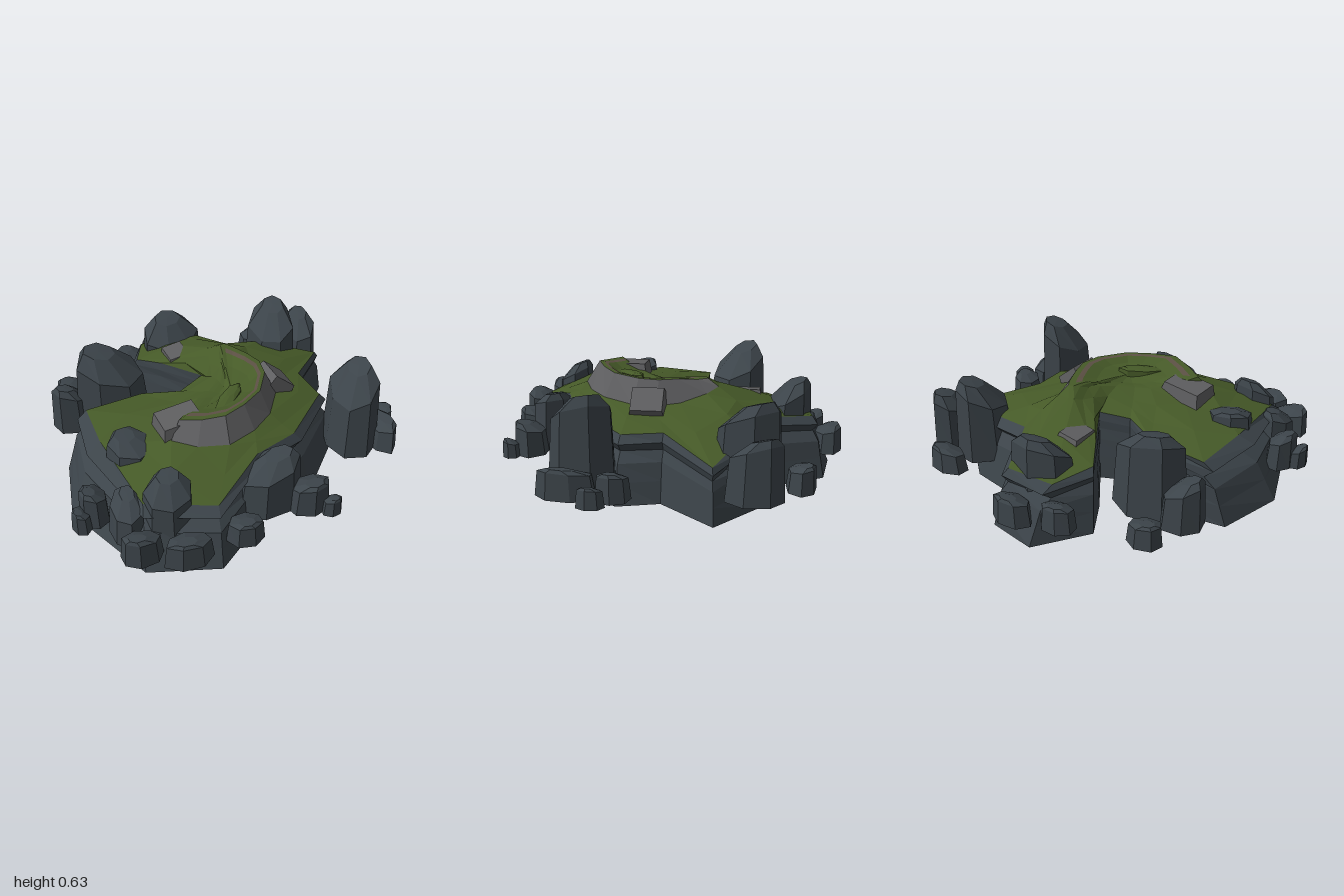
import * as THREE from 'three';

const material = (color) => new THREE.MeshStandardMaterial({ color, flatShading: true });

// Joins two closed rings of equal length; rings run clockwise seen from above.
function loft(a, b, keep = () => true) {
  const pos = [];
  const n = a.length;
  for (let i = 0; i < n; i++) {
    if (!keep(i)) continue;
    const j = (i + 1) % n;
    pos.push(...a[i], ...b[i], ...b[j], ...a[i], ...b[j], ...a[j]);
  }
  return pos;
}

function meshOf(name, positions, mat) {
  const g = new THREE.BufferGeometry();
  g.setAttribute('position', new THREE.Float32BufferAttribute(positions, 3));
  g.computeVertexNormals();
  const m = new THREE.Mesh(g, mat);
  m.name = name;
  return m;
}

const mix = (a, b, t) => a + (b - a) * t;

// Blocky boulder: steep sides and a long slanted cut rising to a peak on the side of angle "peak".
function boulder(name, [x, z, rx, rz, top, peak = Math.atan2(z, x), y0 = 0.12], mat, seed, cut) {
  let s = seed * 7919 + 13;
  const rnd = () => (s = (s * 16807) % 2147483647) / 2147483647;
  for (let i = 0; i < 4; i++) rnd();
  const h = top - y0;
  const jitter = Array.from({ length: 7 }, () => 0.97 + rnd() * 0.12);
  const turn = rnd();
  const ring = (f, t, tilt, lean) => jitter.map((k, i) => {
    const a = ((i + turn) / jitter.length) * Math.PI * 2;
    return [
      rx * (Math.cos(a) * f * k + Math.cos(peak) * lean),
      y0 + h * (t - tilt * (1 - Math.cos(a - peak))),
      rz * (Math.sin(a) * f * k + Math.sin(peak) * lean),
    ];
  });
  const flat = (y) => jitter.map(() => [0, y, 0]);
  const base = ring(1, 0, 0, 0), shoulder = ring(0.88, 0.9, cut, 0.04);
  const crown = ring(0.42, 1, cut * 0.35, 0.36), tip = ring(0, 1 - cut * 0.3, 0, 0.36);
  const m = meshOf(name, [
    ...loft(flat(y0), base), ...loft(base, shoulder),
    ...loft(shoulder, crown), ...loft(crown, tip),
  ], mat);
  m.position.set(x, 0, z);
  return m;
}

// Squared stone slab with sloping sides, tipped about z
function slab(x, y, z, w, h, d, tip) {
  const g = new THREE.BoxGeometry(w, h, d);
  const p = g.attributes.position;
  for (let i = 0; i < p.count; i++) {
    if (p.getY(i) > 0) p.setXYZ(i, p.getX(i) * 0.78, p.getY(i), p.getZ(i) * 0.78);
  }
  g.computeVertexNormals();
  return g.rotateZ(tip).translate(x, y, z);
}

// Foot of the cliff: x, z
const FOOT = [
  [0.14, -0.87], [0.29, -0.60], [0.55, -0.56], [0.86, -0.30], [0.60, -0.01], [0.66, 0.22],
  [0.34, 0.55], [0, 0.66], [-0.35, 0.91], [-0.72, 0.78], [-0.94, 0.22], [-0.85, -0.16],
  [-0.42, -0.24], [-0.18, -0.10], [-0.03, -0.17], [-0.20, -0.40], [-0.33, -0.62], [-0.14, -0.91],
];
// Edge of the grass: x, y, z
const EDGE = [
  [0.08, 0.34, -0.80], [0.25, 0.38, -0.48], [0.48, 0.36, -0.45], [0.80, 0.29, -0.29],
  [0.54, 0.37, -0.02], [0.56, 0.36, 0.20], [0.24, 0.39, 0.50], [-0.02, 0.40, 0.59],
  [-0.32, 0.31, 0.78], [-0.67, 0.33, 0.64], [-0.73, 0.38, 0.14], [-0.71, 0.36, -0.18],
  [-0.38, 0.38, -0.18], [-0.18, 0.40, -0.09], [-0.02, 0.42, -0.16], [-0.18, 0.40, -0.40],
  [-0.28, 0.36, -0.55], [-0.18, 0.32, -0.76],
];
// Foot of the mound
const MOUND = [
  [0.10, 0.52, -0.28], [0.17, 0.52, -0.28], [0.21, 0.49, -0.22], [0.27, 0.45, -0.08],
  [0.30, 0.44, 0.04], [0.29, 0.44, 0.18], [0.17, 0.44, 0.35], [0.03, 0.44, 0.45],
  [-0.14, 0.44, 0.51], [-0.30, 0.44, 0.46], [-0.41, 0.45, 0.37], [-0.36, 0.44, 0.18],
  [-0.25, 0.44, 0.06], [-0.12, 0.45, 0.02], [0, 0.47, -0.06], [0.03, 0.49, -0.15],
  [0.05, 0.50, -0.22], [0.07, 0.52, -0.27],
];
// Crest of the mound
const CREST = [
  [0.12, 0.56, -0.21], [0.15, 0.56, -0.22], [0.18, 0.56, -0.17], [0.22, 0.57, -0.06],
  [0.25, 0.57, 0.04], [0.23, 0.57, 0.15], [0.13, 0.57, 0.30], [0, 0.57, 0.38],
  [-0.13, 0.57, 0.43], [-0.25, 0.55, 0.39], [-0.35, 0.54, 0.33], [-0.25, 0.50, 0.22],
  [-0.16, 0.49, 0.13], [-0.08, 0.49, 0.09], [0, 0.50, 0.02], [0.05, 0.52, -0.06],
  [0.08, 0.53, -0.13], [0.10, 0.55, -0.18],
];

// Boulders on the ledge: x, z, radius x, radius z, top, angle of the peak, optional base
const TALL = [
  [0.665, 0.38, 0.14, 0.18, 0.63, -0.5], [0.57, -0.46, 0.14, 0.19, 0.585, -0.8],
  [-0.02, -0.65, 0.19, 0.14, 0.53, -1.6], [-0.50, -0.36, 0.21, 0.16, 0.60, -2.3],
  [-0.60, 0.27, 0.13, 0.13, 0.46, -2, 0.3], [-0.54, 0.66, 0.14, 0.11, 0.47, -1.3],
  [0.01, 0.67, 0.18, 0.12, 0.44, -0.4], [0.78, -0.50, 0.11, 0.15, 0.46, -0.8],
  [-0.73, -0.41, 0.12, 0.11, 0.40, 2.8], [-0.74, 0.59, 0.09, 0.12, 0.36, -1],
];
const SMALL = [
  [0.83, 0.43, 0.08, 0.15, 0.28], [0.84, 0.20, 0.08, 0.09, 0.27], [0.945, 0.29, 0.052, 0.07, 0.23],
  [-0.02, -0.89, 0.12, 0.08, 0.27], [-0.25, -0.81, 0.10, 0.08, 0.27], [0.60, -0.73, 0.12, 0.08, 0.26],
  [-0.67, -0.645, 0.10, 0.08, 0.25], [-0.945, 0.46, 0.052, 0.07, 0.24], [-0.86, 0.41, 0.08, 0.10, 0.32],
  [-0.73, 0.78, 0.11, 0.08, 0.28], [-0.52, 0.88, 0.13, 0.09, 0.27], [-0.20, 0.85, 0.10, 0.09, 0.25],
  [0.20, 0.77, 0.12, 0.10, 0.30], [0.29, 0.86, 0.058, 0.05, 0.22],
];

export function createModel() {
  const group = new THREE.Group();
  const rock = material(0x3c444a), stone = material(0x5e5e60);
  const grass = material(0x465a28), earth = material(0x5c5044);

  // Cliff: tiers from the foot up to an overhanging lip below the grass
  const tiers = [[0, 0], [0.33, 0.28], [0.6, 0.5], [0.76, 0.95], [0.88, 0.6], [1, 1]].map(([h, t]) =>
    EDGE.map(([x, y, z], i) => [mix(FOOT[i][0], x, t), y * h, mix(FOOT[i][1], z, t)]));
  const cliff = [];
  for (let k = 0; k + 1 < tiers.length; k++) cliff.push(...loft(tiers[k], tiers[k + 1]));
  group.add(meshOf('cliff', cliff, rock));

  // Underside
  const outline = new THREE.Shape(FOOT.map(([x, z]) => new THREE.Vector2(x, z)));
  const underside = new THREE.Mesh(new THREE.ShapeGeometry(outline).rotateX(Math.PI / 2), rock);
  underside.name = 'underside';
  group.add(underside);

  // Grass field, rising in two steps to the mound
  const slope = EDGE.map(([x, y, z], i) => {
    const [mx, my, mz] = MOUND[i];
    return [mix(x, mx, 0.5), mix(y, my, 0.5) + (i % 2 ? 0.006 : -0.006), mix(z, mz, 0.5)];
  });
  group.add(meshOf('grassField', [...loft(EDGE, slope), ...loft(slope, MOUND)], grass));

  // Curved stone bank on the front and right; grass slope on the open side
  const onArc = (i) => i >= 1 && i < 10;
  group.add(meshOf('stoneBank', loft(MOUND, CREST, onArc), stone));
  group.add(meshOf('moundSlope', loft(MOUND, CREST, (i) => !onArc(i)), grass));

  // Earth path along the crest, around a shallow grass hollow
  const inward = (t, drop) => CREST.map(([x, y, z]) => [mix(x, 0.02, t), y - drop * (y - 0.48), mix(z, 0.18, t)]);
  const verge = inward(0.12, 0), path = inward(0.22, 0.05), hollow = inward(0.45, 0.35);
  group.add(meshOf('crestPath', loft(verge, path, onArc), earth));
  group.add(meshOf('hollow', [
    ...loft(CREST, verge), ...loft(verge, path, (i) => !onArc(i)),
    ...loft(path, hollow), ...loft(hollow, hollow.map(() => [0.02, 0.51, 0.18])),
  ], grass));
  const knoll = boulder('grassKnoll', [-0.03, 0.24, 0.14, 0.05, 0.55, 0, 0.47], grass, 5, 0.1);
  knoll.rotation.y = 0.7;
  group.add(knoll);

  // Pale slabs set into the bank and the back slope
  [[-0.32, 0.45, 0.265, 0.28, 0.14, 0.22, 0.12], [0.30, 0.43, 0.09, 0.19, 0.16, 0.22, -0.7],
    [-0.07, 0.40, -0.43, 0.15, 0.09, 0.19, 0.15]].forEach((p) => {
    const m = new THREE.Mesh(slab(...p), stone);
    m.name = 'paleSlab';
    group.add(m);
  });

  // Boulders around the cliff
  TALL.forEach((p, i) => group.add(boulder('tallBoulder', p, rock, 11 + i, 0.15)));
  SMALL.forEach((p, i) => group.add(boulder('smallBoulder', p, rock, 31 + i, 0.1)));
  return group;
}
